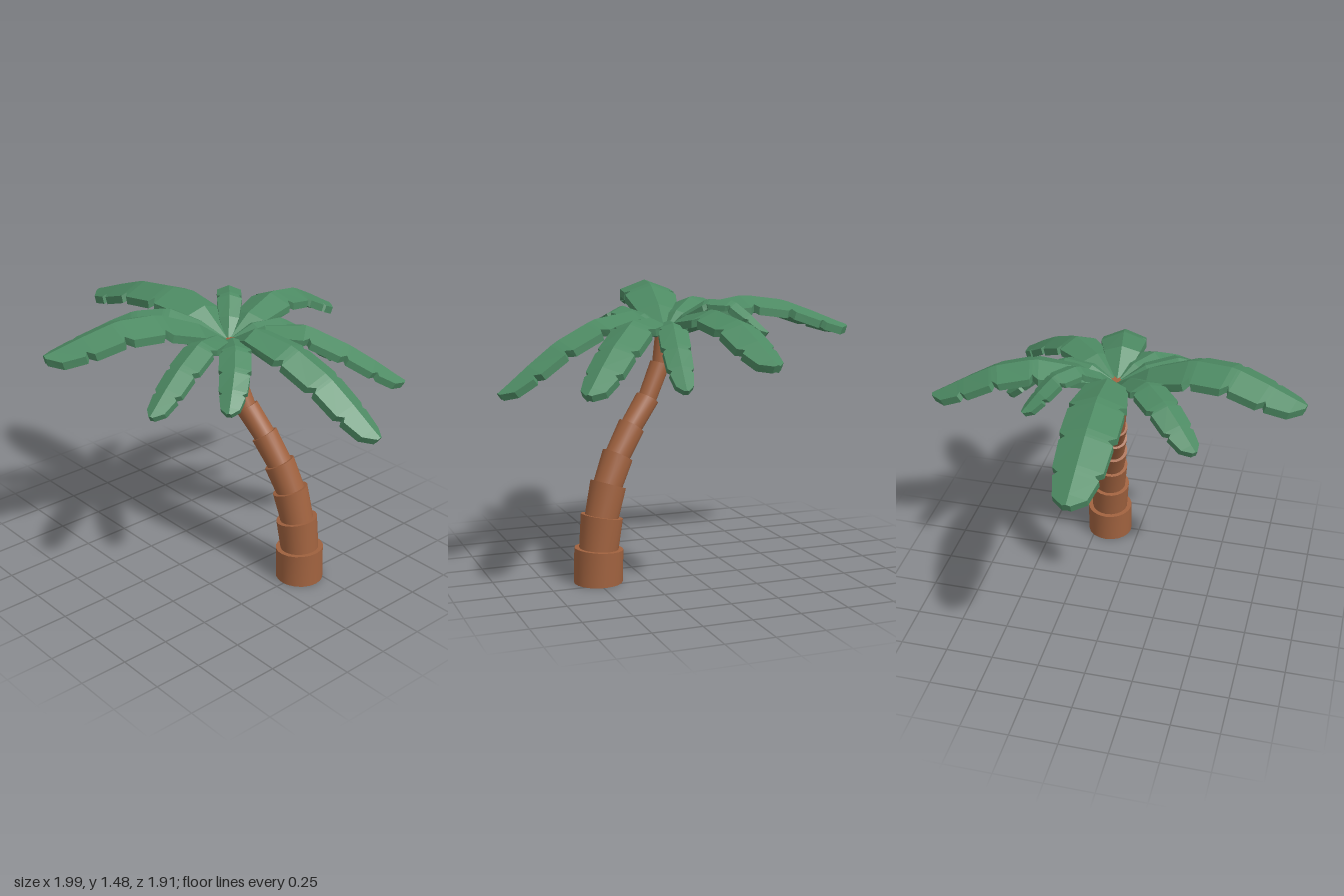
import * as THREE from 'three';
import { toCreasedNormals } from 'three/addons/utils/BufferGeometryUtils.js';

const V = (p) => new THREE.Vector3(...p);
const UP = new THREE.Vector3(0, 1, 0);
const bark = new THREE.MeshStandardMaterial({ color: 0xa0623f });
const leaf = new THREE.MeshStandardMaterial({ color: 0x4d8a63, flatShading: true });

// Trunk joints: centre x, y, z and the radius of the segment ending there
const JOINTS = [
  [0.49, 0, -0.172, 0.125], [0.485, 0.175, -0.172, 0.125], [0.465, 0.34, -0.165, 0.108],
  [0.425, 0.5, -0.15, 0.093], [0.365, 0.64, -0.125, 0.081], [0.28, 0.78, -0.095, 0.07],
  [0.18, 0.915, -0.06, 0.061], [0.1, 1.09, -0.035, 0.052], [0.075, 1.265, -0.03, 0.045],
];

// Fronds: half width, then spine points outward from the crown
const CROWN = [0.07, 1.255, -0.03];
const FRONDS = [
  [0.14, [-0.15, 1.4, -0.03], [-0.53, 1.41, -0.01], [-1, 1.25, 0]],
  [0.12, [0.27, 1.37, -0.05], [0.63, 1.26, -0.12], [0.99, 1.0, -0.18]],
  [0.14, [0.03, 1.42, 0.22], [-0.02, 1.485, 0.52], [-0.12, 1.375, 0.95]],
  [0.12, [0, 1.38, -0.3], [-0.07, 1.37, -0.58], [-0.13, 1.18, -0.96]],
  [0.11, [0.27, 1.36, -0.24], [0.48, 1.25, -0.46], [0.69, 1.05, -0.69]],
  [0.075, [0.12, 1.34, -0.25], [0.17, 1.24, -0.46], [0.2, 1.04, -0.67]],
  [0.065, [-0.07, 1.41, -0.16], [-0.2, 1.42, -0.27], [-0.34, 1.27, -0.41]],
  [0.09, [-0.1, 1.4, 0.13], [-0.28, 1.39, 0.29], [-0.47, 1.26, 0.48]],
  [0.085, [0.18, 1.37, 0.2], [0.26, 1.29, 0.45], [0.33, 1.14, 0.68]],
  [0.08, [0.24, 1.34, 0.08], [0.4, 1.27, 0.22], [0.53, 1.13, 0.37]],
];

// Frond outline: position along the spine, relative width (dips are the notches)
const OUTLINE = [
  [0, 0.18], [0.2, 0.78], [0.41, 1], [0.44, 0.74], [0.455, 0.98], [0.62, 0.98], [0.65, 0.72],
  [0.665, 0.92], [0.81, 0.86], [0.835, 0.62], [0.85, 0.78], [0.95, 0.58], [1, 0.14],
];

// One tapered trunk segment, its ends tilted to follow the bend
function trunkSegment(i) {
  const tilt = (k) => {
    const a = V(JOINTS[Math.max(k - 1, 0)]), b = V(JOINTS[Math.min(k + 1, JOINTS.length - 1)]);
    return new THREE.Quaternion().setFromUnitVectors(UP, k === 0 ? UP : b.sub(a).normalize());
  };
  const r = JOINTS[i + 1][3];
  const geo = new THREE.CylinderGeometry(r, i === 0 ? r : r * 0.93, 1, 20);
  const pos = geo.attributes.position, v = new THREE.Vector3();
  for (let n = 0; n < pos.count; n++) {
    v.fromBufferAttribute(pos, n);
    const k = v.y > 0 ? i + 1 : i;
    v.setY(0).applyQuaternion(tilt(k)).add(V(JOINTS[k]));
    pos.setXYZ(n, v.x, v.y, v.z);
  }
  return new THREE.Mesh(toCreasedNormals(geo, 0.7), bark);
}

// A thick, roof-shaped frond lofted along its spine
function frond([width, ...points]) {
  const curve = new THREE.CatmullRomCurve3([CROWN, ...points].map(V));
  const thick = 0.02 + width * 0.15;
  const verts = [], index = [];
  for (const [t, s] of OUTLINE) {
    const p = curve.getPointAt(t), dir = curve.getTangentAt(t);
    const side = dir.clone().cross(UP).normalize();
    const normal = side.clone().cross(dir);
    const w = width * s, drop = -0.38 * w;
    const section = [[0, 0], [w, drop], [w, drop - thick], [0, -thick], [-w, drop - thick], [-w, drop]];
    for (const [a, b] of section)
      verts.push(...p.clone().addScaledVector(side, a).addScaledVector(normal, b).toArray());
  }
  const last = (OUTLINE.length - 1) * 6;
  for (let o = 0; o < last; o += 6)
    for (let j = 0; j < 6; j++) {
      const a = o + j, b = o + (j + 1) % 6;
      index.push(a, b, b + 6, a, b + 6, a + 6);
    }
  for (let j = 1; j < 5; j++) index.push(0, j + 1, j, last, last + j, last + j + 1);
  const geo = new THREE.BufferGeometry();
  geo.setAttribute('position', new THREE.Float32BufferAttribute(verts, 3));
  geo.setIndex(index);
  const flat = geo.toNonIndexed();
  flat.computeVertexNormals();
  return new THREE.Mesh(flat, leaf);
}

export function createModel() {
  const model = new THREE.Group();
  model.name = 'palmTree';

  const trunk = new THREE.Group();
  trunk.name = 'trunk';
  for (let i = 0; i < JOINTS.length - 1; i++) {
    const segment = trunkSegment(i);
    segment.name = `trunkSegment${i + 1}`;
    trunk.add(segment);
  }

  const crown = new THREE.Group();
  crown.name = 'crown';
  FRONDS.forEach((data, i) => {
    const mesh = frond(data);
    mesh.name = `frond${i + 1}`;
    crown.add(mesh);
  });

  model.add(trunk, crown);
  return model;
}
